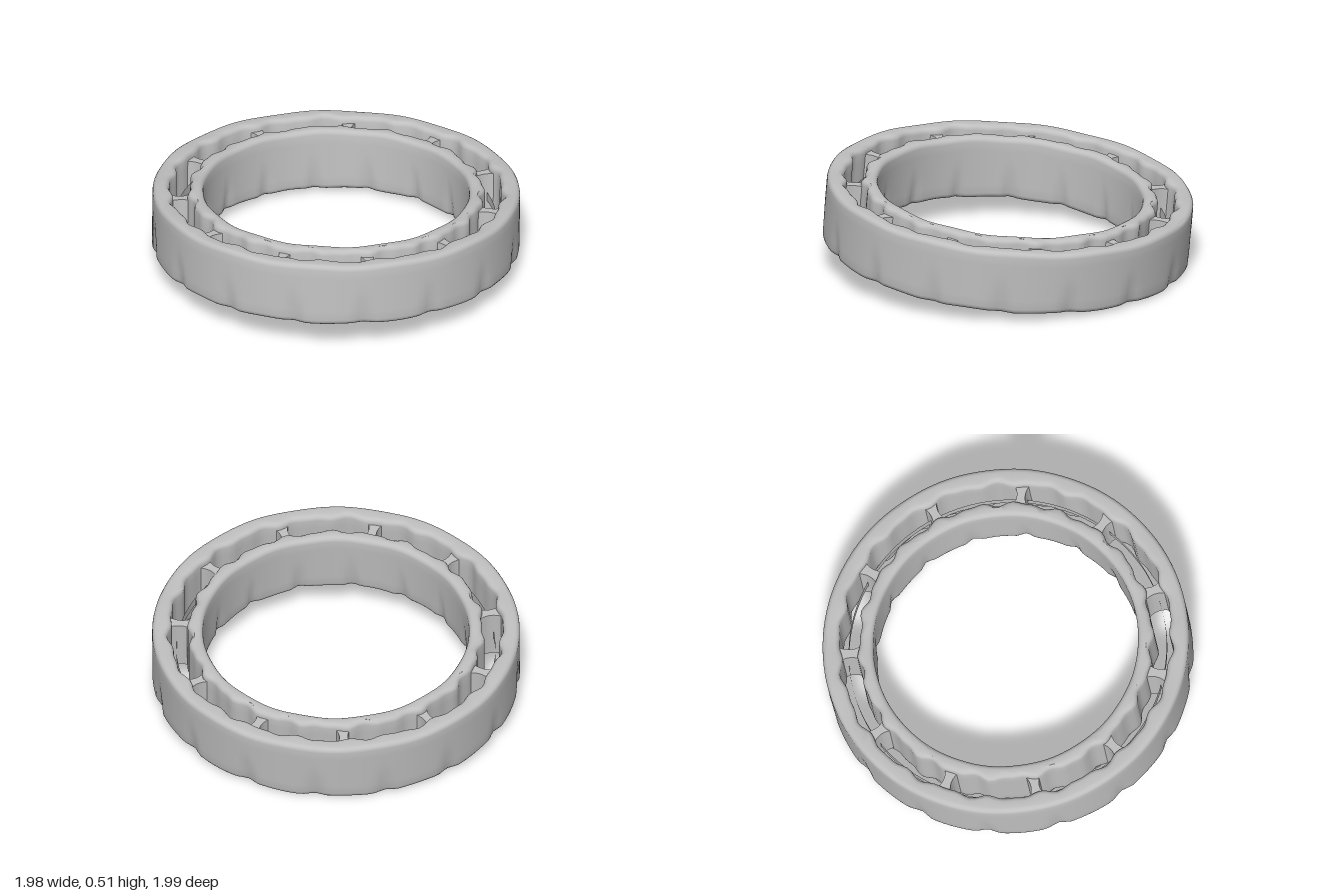
import * as THREE from 'three';
import { toCreasedNormals } from 'three/addons/utils/BufferGeometryUtils.js';

const HALF = 0.174;
const DENTS = 16, SPOKES = 11;

// Closed, rounded cross-section between two radii, walked counter-clockwise
function ringProfile(r0, r1) {
  const pts = [];
  const b = 0.028;
  const corner = (cx, cy, start) => {
    for (let i = 0; i <= 4; i++) {
      const a = start + (i / 4) * Math.PI / 2;
      pts.push(new THREE.Vector2(cx + b * Math.cos(a), cy + b * Math.sin(a)));
    }
  };
  const side = (r, up) => {
    for (let i = 1; i < 6; i++) {
      const y = (HALF - b) * (i / 3 - 1);
      pts.push(new THREE.Vector2(r, up ? y : -y));
    }
  };
  corner(r1 - b, -HALF + b, -Math.PI / 2);
  side(r1, true);
  corner(r1 - b, HALF - b, 0);
  corner(r0 + b, HALF - b, Math.PI / 2);
  side(r0, false);
  corner(r0 + b, -HALF + b, Math.PI);
  pts.push(pts[0].clone());
  return pts;
}

// Ring whose channel-side wall ripples and whose exposed wall has dents low down
function makeRing(r0, r1, channelSide, name, material) {
  const geo = new THREE.LatheGeometry(ringProfile(r0, r1), 192);
  const p = geo.attributes.position;
  const mid = (r0 + r1) / 2;
  for (let i = 0; i < p.count; i++) {
    const x = p.getX(i), y = p.getY(i), z = p.getZ(i);
    const r = Math.hypot(x, z), a = Math.atan2(z, x);
    let shift = 0;
    if ((r - mid) * channelSide > 0.01) {
      shift = channelSide * (0.009 * Math.sin(22 * a) + 0.006 * Math.sin(37 * a + 1));
    } else if (y < 0.03) {
      const step = (2 * Math.PI) / DENTS;
      const t = (a - 0.105) / step;
      const off = Math.abs(t - Math.round(t)) * step;
      const low = Math.min(1, (0.03 - y) / 0.18);
      shift = channelSide * 0.02 * low * Math.max(0, 1 - off / (0.025 + 0.045 * low));
    }
    const k = (r + shift) / r;
    p.setXYZ(i, x * k, y + 0.003 * Math.sin(13 * a) * Math.sign(y), z * k);
  }
  const mesh = new THREE.Mesh(toCreasedNormals(geo, 0.9), material);
  mesh.name = name;
  return mesh;
}

// Waisted web joining the two rings
function spokeGeometry() {
  const s = new THREE.Shape();
  s.moveTo(0.765, -0.05);
  s.quadraticCurveTo(0.84, 0.005, 0.915, -0.05);
  s.lineTo(0.915, 0.05);
  s.quadraticCurveTo(0.84, -0.005, 0.765, 0.05);
  s.closePath();
  const g = new THREE.ExtrudeGeometry(s, { depth: 0.27, bevelEnabled: false, curveSegments: 8 });
  g.translate(0, 0, -0.135);
  g.rotateX(-Math.PI / 2);
  return g;
}

export function createModel() {
  const model = new THREE.Group();
  model.name = 'bearing';
  const grey = new THREE.MeshStandardMaterial({ color: 0xbfbfbf, side: THREE.DoubleSide });
  grey.name = 'steel grey';

  const body = new THREE.Group();
  body.name = 'tiltedBody';
  body.add(makeRing(0.895, 0.988, -1, 'outerRing', grey));
  body.add(makeRing(0.715, 0.79, 1, 'innerRing', grey));

  // Webs spaced evenly in the channel
  const web = spokeGeometry();
  for (let i = 0; i < SPOKES; i++) {
    const spoke = new THREE.Mesh(web, grey);
    spoke.name = 'spoke';
    spoke.rotation.y = -(0.08 + (i / SPOKES) * Math.PI * 2);
    body.add(spoke);
  }

  // Thin retaining band running through the webs
  const band = new THREE.Mesh(new THREE.CylinderGeometry(0.858, 0.858, 0.05, 128, 1, true), grey);
  band.name = 'retainingBand';
  body.add(band);

  body.rotation.x = -0.084;
  body.position.y = 0.262;
  model.add(body);
  return model;
}
